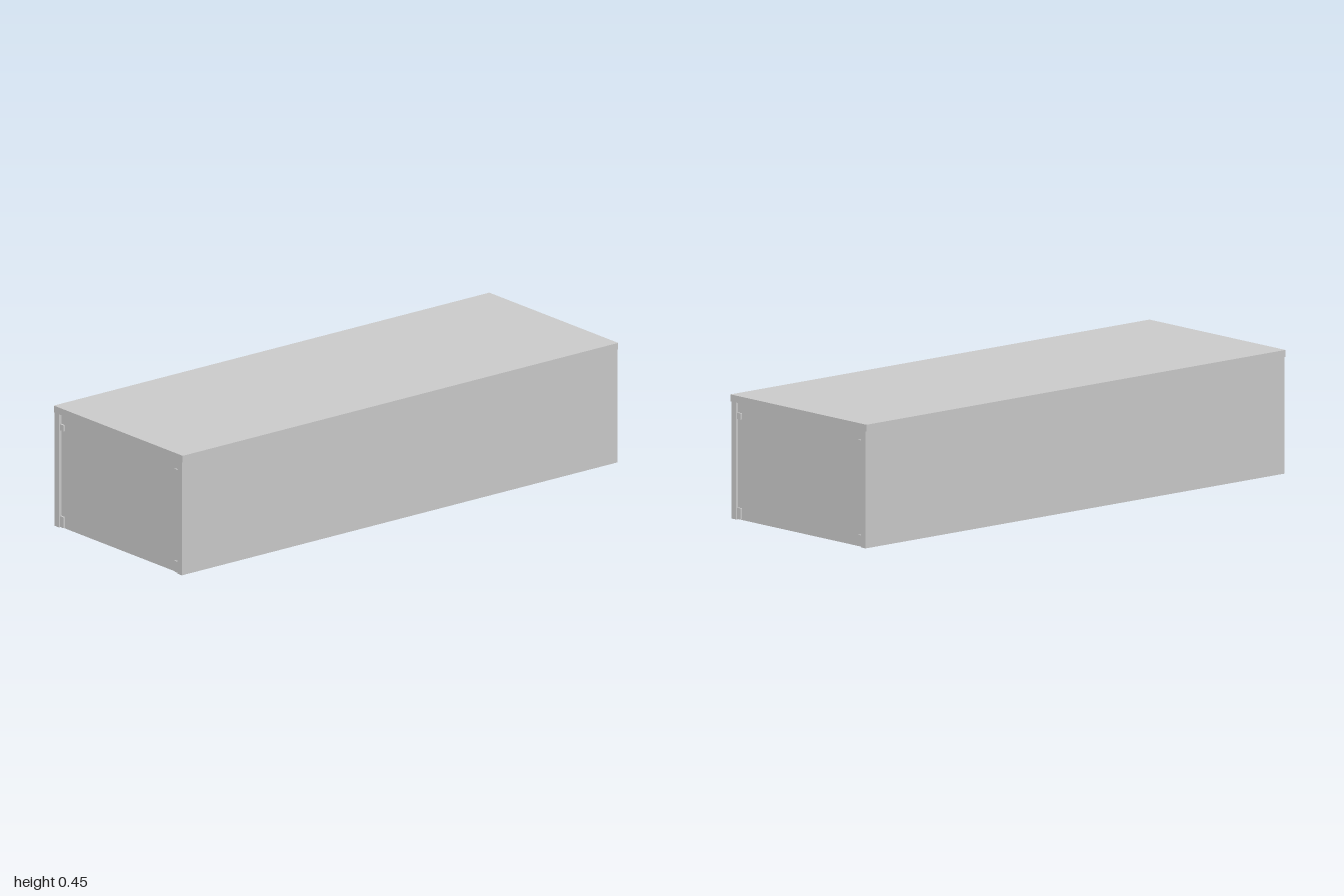
import * as THREE from 'three';

export function createModel() {
  const model = new THREE.Group();
  const grey = new THREE.MeshStandardMaterial({ color: 0xcccccc });
  grey.name = 'plain grey';

  // Box given by its low and high corners
  function box(name, x0, x1, y0, y1, z0, z1, parent = model) {
    const mesh = new THREE.Mesh(new THREE.BoxGeometry(x1 - x0, y1 - y0, z1 - z0), grey);
    mesh.position.set((x0 + x1) / 2, (y0 + y1) / 2, (z0 + z1) / 2);
    mesh.name = name;
    parent.add(mesh);
    return mesh;
  }

  // Roof slab, slightly wider than the walls
  box('roof', -0.363, 0.363, 0.425, 0.45, -1, 1);

  // Thin gathered curtain, narrowing towards its tie
  const drape = new THREE.Shape();
  drape.moveTo(0, 0.34);
  drape.lineTo(0.045, 0.34);
  drape.lineTo(0.012, 0.17);
  drape.lineTo(0.028, 0.07);
  drape.lineTo(0, 0.07);
  const drapeGeometry = new THREE.ExtrudeGeometry(drape, { depth: 0.006, bevelEnabled: false });

  // One long wall with its inner fittings; x grows inwards from the outer face
  function longWall(name) {
    const wall = new THREE.Group();
    wall.name = name;
    box('wallPanel', 0, 0.025, 0, 0.425, -1, 1, wall);
    box('upperCornice', 0.025, 0.07, 0.4, 0.425, -0.975, 0.975, wall);
    box('lowerCornice', 0.025, 0.05, 0.38, 0.4, -0.975, 0.975, wall);
    box('skirting', 0.025, 0.033, 0.002, 0.04, -0.975, 0.975, wall);

    const bay = 0.2425;
    for (let i = 0; i <= 8; i++) {
      // Pilaster with base and capital, cut off at the end walls
      const z = -0.97 + i * bay;
      const pilaster = (part, half, depth, y0, y1) => box(part, 0.025, 0.025 + depth, y0, y1,
        Math.max(z - half, -0.975), Math.min(z + half, 0.975), wall);
      pilaster('pilasterShaft', 0.025, 0.016, 0.045, 0.355);
      pilaster('pilasterBase', 0.035, 0.026, 0.002, 0.045);
      pilaster('pilasterCapital', 0.035, 0.026, 0.355, 0.38);
    }

    for (let i = 0; i < 8; i++) {
      // Window frame, glazing bars and curtains
      const z = -0.97 + (i + 0.5) * bay;
      for (const s of [-1, 1]) {
        box('windowJamb', 0.025, 0.037, 0.07, 0.35, z + s * 0.055 - 0.006, z + s * 0.055 + 0.006, wall);
        const curtain = new THREE.Mesh(drapeGeometry, grey);
        curtain.name = 'curtain';
        curtain.rotation.y = s * Math.PI / 2;
        curtain.position.set(s > 0 ? 0.038 : 0.044, 0, z + s * 0.062);
        wall.add(curtain);
      }
      box('windowSill', 0.025, 0.045, 0.055, 0.07, z - 0.068, z + 0.068, wall);
      box('windowHead', 0.025, 0.04, 0.34, 0.355, z - 0.068, z + 0.068, wall);
      box('mullion', 0.025, 0.033, 0.07, 0.34, z - 0.003, z + 0.003, wall);
      for (const y of [0.14, 0.21, 0.28])
        box('glazingBar', 0.025, 0.033, y - 0.003, y + 0.003, z - 0.05, z + 0.05, wall);
    }
    model.add(wall);
    return wall;
  }
  longWall('rightWall').position.x = -0.358;
  const left = longWall('leftWall');
  left.position.x = 0.358;
  left.rotation.y = Math.PI;

  // End walls, set back between the side walls
  for (const s of [1, -1]) {
    const end = new THREE.Group();
    end.name = s > 0 ? 'frontEnd' : 'backEnd';
    box('endPanel', -0.334, 0.334, 0, 0.425, 0.975, 0.99, end);
    box('endCornice', -0.333, 0.333, 0.4, 0.425, 0.93, 0.975, end);
    box('endSkirting', -0.333, 0.333, 0.002, 0.05, 0.967, 0.975, end);
    const batten = s > 0 ? -0.09 : 0.09;
    box('panelBatten', batten - 0.004, batten + 0.004, 0.05, 0.4, 0.969, 0.975, end);
    for (const x of [-0.322, 0.322]) {
      box('upperTab', x - 0.01, x + 0.01, 0.365, 0.388, 0.988, 0.997, end);
      box('lowerTab', x - 0.01, x + 0.01, 0.002, 0.043, 0.988, 0.997, end);
    }
    if (s < 0) end.rotation.y = Math.PI;
    model.add(end);
  }

  return model;
}
